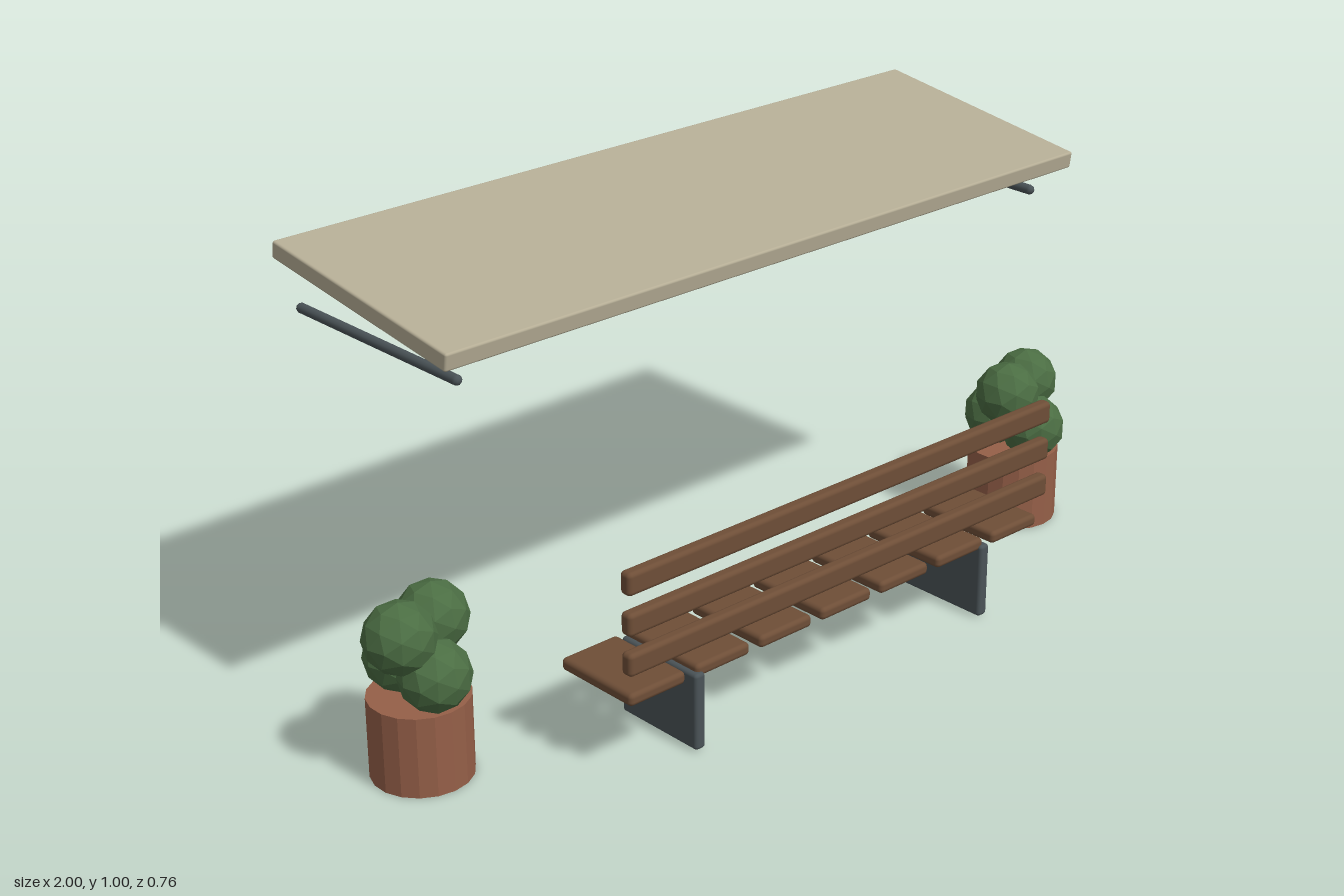
import * as THREE from 'three';
import { RoundedBoxGeometry } from 'three/addons/geometries/RoundedBoxGeometry.js';

const paint = (name, color, flatShading = false) => {
  const m = new THREE.MeshStandardMaterial({ color, flatShading });
  m.name = name;
  return m;
};

export function createModel() {
  const wood = paint('wood', 0x6e4e37);
  const metal = paint('dark metal', 0x4a5357);
  const canvas = paint('beige roof', 0xb5ad95);
  const clay = paint('terracotta', 0x955f48, true);
  const leaf = paint('leaf green', 0x4b6d43, true);

  const model = new THREE.Group();
  model.name = 'benchShelter';

  const add = (name, geometry, material, x, y, z, parent = model) => {
    const mesh = new THREE.Mesh(geometry, material);
    mesh.name = name;
    mesh.position.set(x, y, z);
    parent.add(mesh);
    return mesh;
  };
  const box = (w, h, d, r) => new RoundedBoxGeometry(w, h, d, 2, r);

  // Sloping roof, lower at the front
  const roof = add('roof', box(1.735, 0.038, 0.55, 0.005), canvas, 0, 0.944, -0.085);
  roof.rotation.x = 0.137;

  // Roof support rods
  const rod = new THREE.CapsuleGeometry(0.011, 0.498, 3, 10).rotateX(Math.PI / 2);
  for (const side of [-1, 1]) add('roofRod', rod, metal, side * 0.8, 0.838, -0.121);

  // Bench: seat slats, backrest boards and leg plates
  const bench = new THREE.Group();
  bench.name = 'bench';
  model.add(bench);
  const seatSlat = box(0.145, 0.028, 0.212, 0.01);
  for (let i = -3; i <= 3; i++) add('seatSlat', seatSlat, wood, i * 0.174, 0.176, 0.261, bench);
  const backBoard = box(1.215, 0.05, 0.03, 0.01);
  for (let i = 0; i < 3; i++) add('backBoard', backBoard, wood, 0, 0.263 + i * 0.087, 0.368, bench);
  const leg = box(0.027, 0.172, 0.226, 0.008);
  for (const side of [-1, 1]) add('benchLeg', leg, metal, side * 0.418, 0.089, 0.262, bench);

  // Potted shrubs: each a faceted pot and four leaf clumps
  const pot = new THREE.CylinderGeometry(0.105, 0.105, 0.175, 18);
  const clump = new THREE.IcosahedronGeometry(0.075, 1);
  const clumps = [
    [0, 0.237, 0.056],
    [0, 0.237, -0.057],
    [-0.054, 0.325, 0.022],
    [0.054, 0.318, -0.018],
  ];
  for (const side of [-1, 1]) {
    const planter = new THREE.Group();
    planter.name = 'planter';
    planter.position.set(side * 0.87, 0, 0.055);
    model.add(planter);
    add('pot', pot, clay, 0, 0.0875, 0, planter);
    clumps.forEach(([x, y, z]) => add('leafClump', clump, leaf, x, y, z, planter));
  }
  return model;
}
